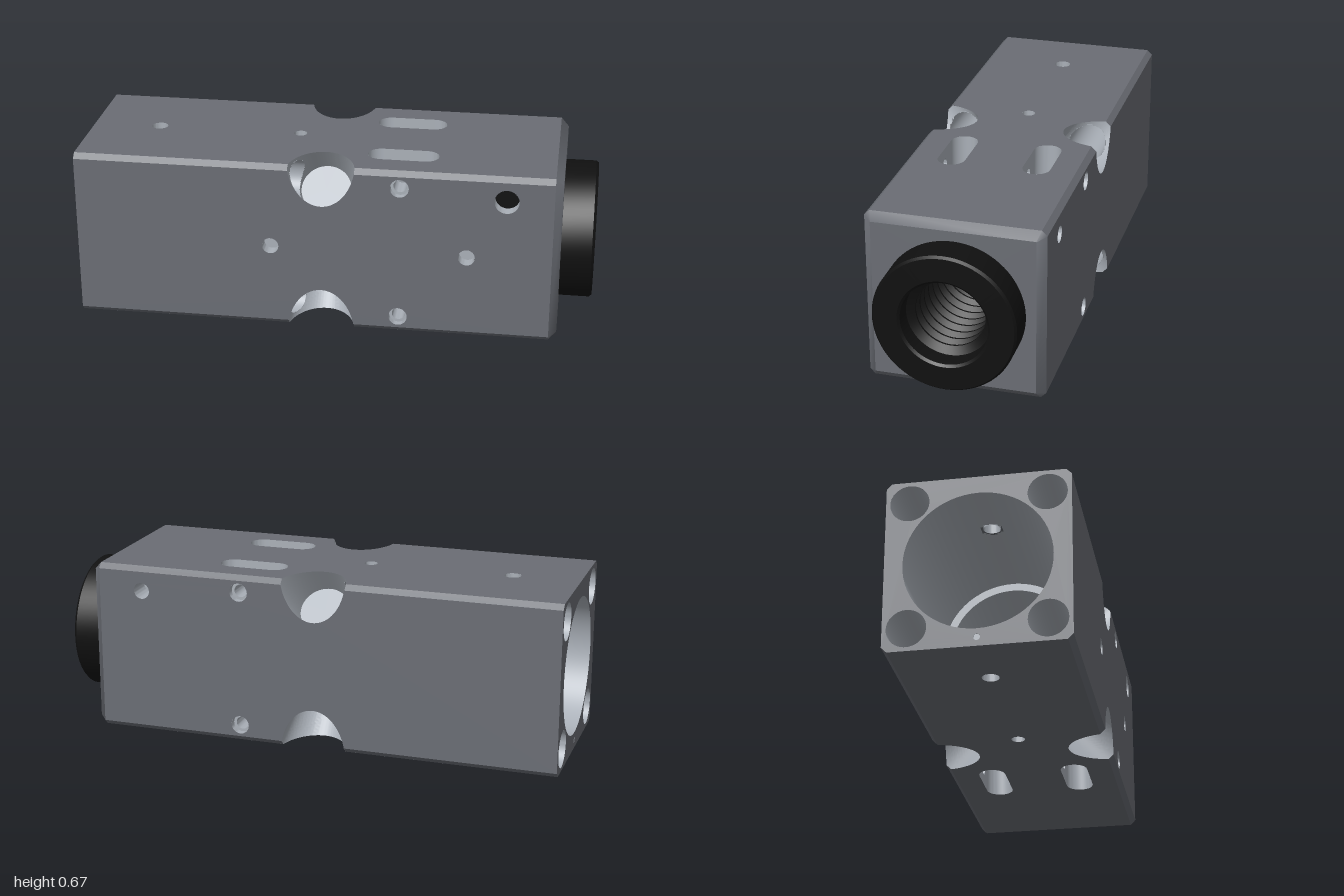
import * as THREE from 'three';
import { mergeVertices, toCreasedNormals } from 'three/addons/utils/BufferGeometryUtils.js';

const H = 0.337;            // half width of the square block
const C = 0.02;             // long edge chamfer
const X0 = -1, X1 = 0.843, X2 = 0.873;
const BORE = 0.27, MID = 0.24;
const CORNER = 0.25, CORNER_R = 0.072;
const NX = -0.04, FLOOR = 0.218, EDGE = 0.0141;   // corner notches
const coneR = d => 0.13 - 0.15 * d;
const SLOT = { x: 0.257, v: 0.166, half: 0.084, r: 0.053 };

const mat = color => new THREE.MeshStandardMaterial({ color, side: THREE.DoubleSide });

// Surface from a rule f(u, v), leaving out cells whose centre passes the drop test
function grid(nu, nv, f, drop) {
  const pos = [], idx = [];
  for (let j = 0; j <= nv; j++) for (let i = 0; i <= nu; i++) pos.push(...f(i / nu, j / nv));
  for (let j = 0; j < nv; j++) for (let i = 0; i < nu; i++) {
    if (drop && drop(...f((i + 0.5) / nu, (j + 0.5) / nv))) continue;
    const a = j * (nu + 1) + i, b = a + nu + 1;
    idx.push(a, a + 1, b, a + 1, b + 1, b);
  }
  const g = new THREE.BufferGeometry();
  g.setAttribute('position', new THREE.Float32BufferAttribute(pos, 3));
  g.setIndex(idx);
  return toCreasedNormals(mergeVertices(g, 1e-5), 0.6);
}

const circle = (x, y, r) => new THREE.Path().absarc(x, y, r, 0, Math.PI * 2, true);

function stadium(x, y) {
  const p = new THREE.Path();
  p.absarc(x + SLOT.half, y, SLOT.r, -Math.PI / 2, Math.PI / 2, false);
  p.absarc(x - SLOT.half, y, SLOT.r, Math.PI / 2, Math.PI * 1.5, false);
  p.closePath();
  return p;
}

const octagon = (h, c) => [[h, h - c], [h - c, h], [c - h, h], [-h, h - c],
  [-h, c - h], [c - h, -h], [h - c, -h], [h, c - h]];

const inSlot = (x, v) => Math.hypot(Math.max(0, Math.abs(x - SLOT.x) - SLOT.half), Math.abs(v) - SLOT.v) < SLOT.r + 0.007;

export function createModel() {
  const model = new THREE.Group();
  const block = new THREE.Group();
  block.name = 'block';
  block.position.y = H;
  model.add(block);
  const outer = mat(0x6a6d74), inner = mat(0xaab0b8), black = mat(0x101010);
  const add = (parent, name, geo, m) => {
    const mesh = new THREE.Mesh(geo, m);
    mesh.name = name;
    parent.add(mesh);
  };

  // Round wall going inward from a face; z1 may be a rule of the cross position
  const wall = (parent, name, x, v, r, z0, z1) => add(parent, name, grid(32, 1, (u, w) => {
    const a = u * Math.PI * 2, y = v + r * Math.sin(a);
    const end = typeof z1 === 'function' ? z1(y) : z1;
    return [x + r * Math.cos(a), y, z0 + (end - z0) * w];
  }), inner);
  const blind = (parent, x, v, r, depth, m = inner) => {
    wall(parent, 'holeWall', x, v, r, H, H - depth);
    add(parent, 'holeFloor', new THREE.CircleGeometry(r, 32).translate(x, v, H - depth), m);
  };

  // Outline of a long face with a notch in both long edges
  const notch = [];
  const aMin = Math.asin(0.1102);
  for (let i = 0; i <= 40; i++) {
    const a = Math.PI - aMin - (Math.PI - 2 * aMin) * i / 40, s = Math.sin(a);
    const d = 0.13 * s / (1 + 0.15 * s);
    notch.push(new THREE.Vector2(NX + coneR(d) * Math.cos(a), H - Math.SQRT2 * d));
  }
  const faceShape = () => new THREE.Shape([
    new THREE.Vector2(X0, C - H),
    ...notch.map(p => new THREE.Vector2(p.x, -p.y)),
    new THREE.Vector2(X1, C - H), new THREE.Vector2(X1, H - C),
    ...notch.slice().reverse(),
    new THREE.Vector2(X0, H - C)]);

  const slotWalls = (side, v0) => {
    const depth = y => Math.sqrt(MID * MID - y * y);
    for (const e of [-1, 1]) {
      add(side, 'slotEnd', grid(20, 1, (u, w) => {
        const a = (u - 0.5) * Math.PI, y = v0 + SLOT.r * Math.sin(a);
        return [SLOT.x + e * (SLOT.half + SLOT.r * Math.cos(a)), y, H + (depth(y) - H) * w];
      }), inner);
      const v = v0 + e * SLOT.r, x = SLOT.half;
      const s = new THREE.Shape([[-x, depth(v)], [x, depth(v)], [x, H], [-x, H]]
        .map(p => new THREE.Vector2(SLOT.x + p[0], p[1])));
      s.holes.push(circle(0.26, 0.27, 0.025));
      add(side, 'slotSide', new THREE.ShapeGeometry(s, 16).rotateX(Math.PI / 2).translate(0, v, 0), inner);
    }
  };

  // Four long sides; each also carries the chamfer and notch on its upper edge
  const angles = { front: 0, top: -Math.PI / 2, back: Math.PI, bottom: Math.PI / 2 };
  for (const [name, angle] of Object.entries(angles)) {
    const side = new THREE.Group();
    side.name = name + 'Side';
    side.rotation.x = angle;
    block.add(side);
    const shape = faceShape();
    const cut = (x, v, r) => shape.holes.push(circle(x, v, r));

    if (name === 'front' || name === 'back') {
      for (const v of [-0.27, 0.27]) {
        cut(0.26, v, 0.036);
        wall(side, 'counterbore', 0.26, v, 0.036, H, 0.31);
        add(side, 'counterboreStep', new THREE.RingGeometry(0.025, 0.036, 32).translate(0.26, v, 0.31), inner);
        wall(side, 'crossHole', 0.26, v, 0.025, 0.31, SLOT.v + SLOT.r);
        if (name === 'front') wall(side, 'crossHole', 0.26, v, 0.025, SLOT.v - SLOT.r, SLOT.r - SLOT.v);
      }
      const front = name === 'front', r = front ? 0.047 : 0.032, v = front ? 0.24 : -0.24;
      cut(0.665, v, r);
      blind(side, 0.665, v, r, front ? 0.05 : 0.1, front ? black : inner);
      if (front) for (const x of [-0.237, 0.52]) {
        cut(x, 0, 0.032);
        blind(side, x, 0, 0.032, 0.05);
      }
    } else {
      cut(-0.737, 0, 0.032);
      wall(side, 'pinHole', -0.737, 0, 0.032, H, y => Math.sqrt(BORE * BORE - y * y));
      cut(-0.17, 0, 0.026);
      blind(side, -0.17, 0, 0.026, 0.06);
      for (const v of [-SLOT.v, SLOT.v]) {
        shape.holes.push(stadium(SLOT.x, v));
        slotWalls(side, v);
      }
    }
    add(side, name + 'Face', new THREE.ShapeGeometry(shape, 24).translate(0, 0, H), outer);

    // Chamfer strips either side of the notch
    for (const [a, b] of [[X0, NX - 0.128], [NX + 0.128, X1]])
      add(side, 'edgeChamfer', grid(1, 1, (u, w) => [a + (b - a) * u, H - C + C * w, H - C * w]), outer);

    // Tapered notch running in along the diagonal
    const diag = (x, t, d) => {
      const w = H * Math.SQRT2 - d;
      return [x, (w + t) / Math.SQRT2, (w - t) / Math.SQRT2];
    };
    add(side, 'notchWall', grid(128, 28, (u, w) => {
      const a = u * Math.PI * 2, s = Math.abs(Math.sin(a));
      const d0 = Math.max(EDGE, 0.13 * s / (1 + 0.15 * s)), d = d0 + (FLOOR - d0) * w;
      return diag(NX + coneR(d) * Math.cos(a), coneR(d) * Math.sin(a), d);
    }, (x, y, z) => x < NX && Math.hypot(y - CORNER, z - CORNER) < CORNER_R), inner);
    add(side, 'notchFloor', grid(64, 1, (u, w) => {
      const a = u * Math.PI * 2, r = coneR(FLOOR) * (1 - w);
      return diag(NX + r * Math.cos(a), r * Math.sin(a), FLOOR);
    }), inner);

    // Corner bore from the left end into the notch
    add(side, 'cornerBore', grid(48, 1, (u, w) => {
      const a = u * Math.PI * 2;
      const y = CORNER + CORNER_R * Math.cos(a), z = CORNER + CORNER_R * Math.sin(a);
      const d = H * Math.SQRT2 - (y + z) / Math.SQRT2, t = (y - z) / Math.SQRT2;
      const end = NX - Math.sqrt(coneR(d) ** 2 - t * t);
      return [X0 + (end - X0) * w, y, z];
    }), inner);
  }

  // Left end with main bore, corner bores and a small pin hole
  const toVec = p => new THREE.Vector2(p[0], p[1]);
  const left = new THREE.Shape(octagon(H, C).map(toVec));
  left.holes.push(circle(0, 0, BORE), circle(0, -0.303, 0.012));
  for (const a of [-CORNER, CORNER]) for (const b of [-CORNER, CORNER]) left.holes.push(circle(a, b, CORNER_R));
  add(block, 'leftEnd', new THREE.ShapeGeometry(left, 32).rotateY(-Math.PI / 2).translate(X0, 0, 0), outer);
  add(block, 'leftPinHole', new THREE.CylinderGeometry(0.012, 0.012, 0.06, 16)
    .rotateZ(Math.PI / 2).translate(X0 + 0.031, -0.303, 0), inner);

  // Right end with its chamfered border
  const o1 = octagon(H, C), o2 = octagon(H - 0.031, 0.001);
  add(block, 'rightEndChamfer', grid(8, 1, (u, w) => {
    const i = Math.round(u * 8) % 8, p = w ? o2[i] : o1[i];
    return [w ? X2 : X1, p[0], p[1]];
  }), outer);
  const right = new THREE.Shape(o2.map(toVec));
  right.holes.push(circle(0, 0, 0.2));
  add(block, 'rightEnd', new THREE.ShapeGeometry(right, 32).rotateY(Math.PI / 2).translate(X2, 0, 0), outer);

  // Stepped main bore, open where the pin holes and slots enter it
  const tube = (name, r, a, b, n, drop) => add(block, name, grid(128, n, (u, w) =>
    [a + (b - a) * w, r * Math.cos(u * Math.PI * 2), r * Math.sin(u * Math.PI * 2)], drop), inner);
  tube('mainBore', BORE, X0, -0.3, 64, (x, y, z) => Math.hypot(x + 0.737, z) < 0.039);
  tube('middleBore', MID, -0.3, 0.5, 72, (x, y, z) => inSlot(x, z));
  add(block, 'boreStep', new THREE.RingGeometry(MID, BORE, 64).rotateY(-Math.PI / 2).translate(-0.3, 0, 0), inner);

  // Black threaded insert with its collar
  const profile = [[0.13, 0.5], [MID, 0.5], [0.2, 0.52], [0.2, X2], [0.268, X2], [0.268, 0.99],
    [0.26, 1], [0.172, 1], [0.163, 0.992], [0.16, 0.96]];
  for (let x = 0.93; x > 0.55; x -= 0.05) profile.push([0.16, x], [0.131, x - 0.018], [0.131, x - 0.026], [0.16, x - 0.044]);
  profile.push([0.13, 0.5]);
  add(block, 'threadedInsert', toCreasedNormals(new THREE.LatheGeometry(profile.map(toVec), 72), 0.5)
    .rotateZ(-Math.PI / 2), black);

  return model;
}
